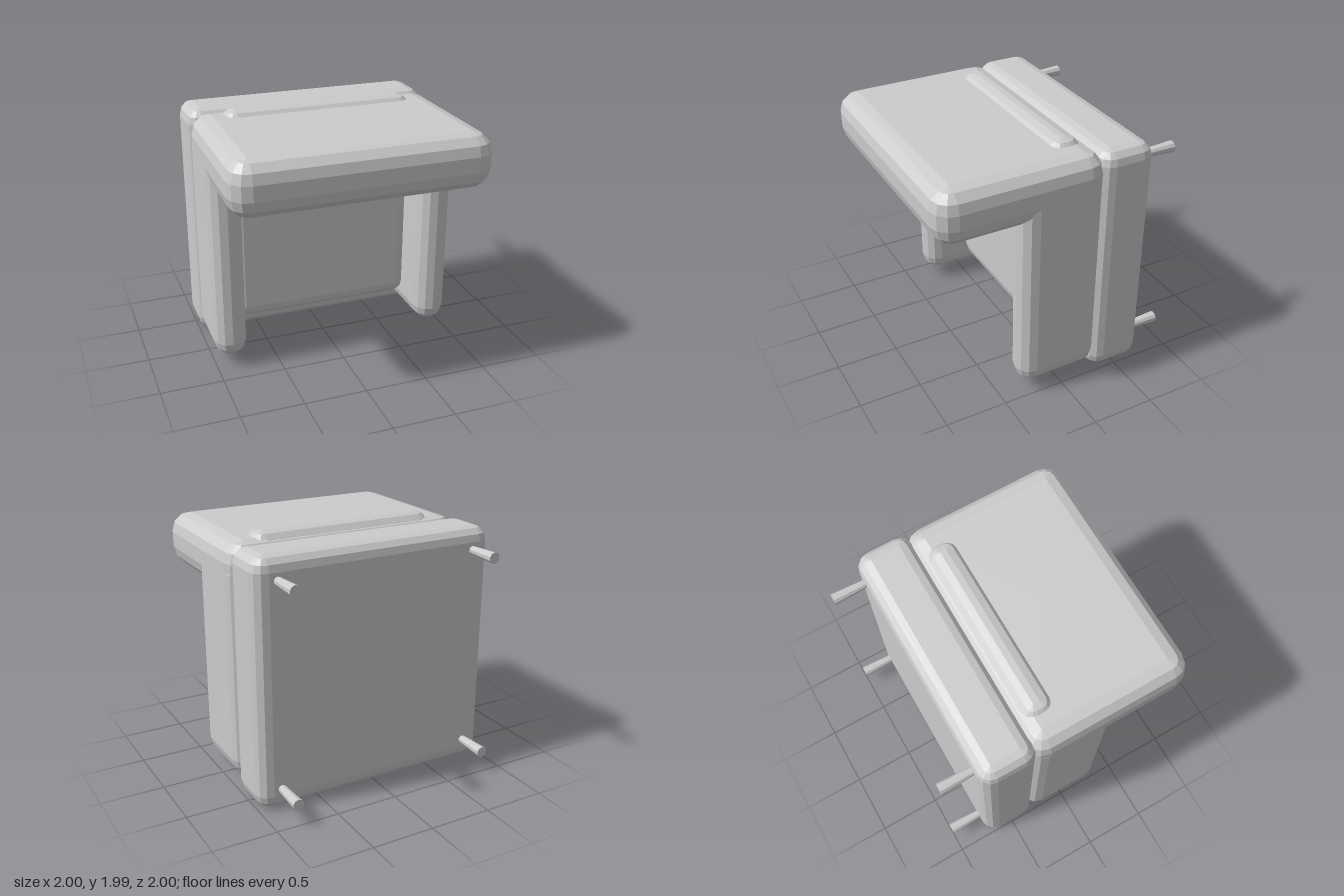
import * as THREE from 'three';

// Box with faceted rounded edges (three flat strips per edge), given by its min and max corners
function softBox(min, max, r) {
  const lo = new THREE.Vector3(...min), hi = new THREE.Vector3(...max);
  const mid = lo.clone().add(hi).multiplyScalar(0.5);
  const core = hi.clone().sub(lo).multiplyScalar(0.5).subScalar(r);
  const grid = new THREE.PlaneGeometry(1, 1, 16, 9);
  const pos = grid.attributes.position;
  for (let i = 0; i < pos.count; i++) {
    const row = Math.floor(i / 17), col = (i % 17) % 16;
    const up = row < 5 ? 1 : -1;
    // rows 0 and 9 close the caps at their centres
    if (row === 0 || row === 9) {
      pos.setXYZ(i, mid.x, mid.y + up * (core.y + r), mid.z);
      continue;
    }
    const lat = (up > 0 ? 4 - row : 5 - row) * Math.PI / 6;
    const quarter = Math.floor(col / 4);
    const lon = (quarter + (col % 4) / 3) * Math.PI / 2;
    const sx = quarter === 0 || quarter === 1 ? 1 : -1;
    const sz = quarter === 0 || quarter === 3 ? 1 : -1;
    pos.setXYZ(i,
      mid.x + sx * core.x + r * Math.cos(lat) * Math.sin(lon),
      mid.y + up * core.y + r * Math.sin(lat),
      mid.z + sz * core.z + r * Math.cos(lat) * Math.cos(lon));
  }
  // separate faces for flat facets
  const flat = grid.toNonIndexed();
  flat.computeVertexNormals();
  return flat;
}

export function createModel() {
  const model = new THREE.Group();
  model.name = 'armchairOnItsBack';
  const grey = new THREE.MeshStandardMaterial({ color: 0xcccccc });
  grey.name = 'light grey';

  const add = (name, geometry) => {
    const mesh = new THREE.Mesh(geometry, grey);
    mesh.name = name;
    model.add(mesh);
    return mesh;
  };

  // Upholstered blocks
  add('seatBase', softBox([-1, 0.01, -0.735], [1, 1.96, -0.28], 0.11));
  add('backrest', softBox([-1, 1.53, -0.35], [1, 1.96, 1], 0.155));
  add('seatCushion', softBox([-0.78, 0.225, -0.27], [0.78, 2, 0], 0.11));
  add('leftArm', softBox([0.74, 0.095, -0.33], [1, 1.85, 0.35], 0.125));
  add('rightArm', softBox([-1, 0.095, -0.33], [-0.74, 1.85, 0.35], 0.125));

  // Four legs pointing backwards, flaring towards the tips
  const leg = new THREE.CylinderGeometry(0.031, 0.045, 0.3, 10).toNonIndexed();
  leg.rotateX(Math.PI / 2);
  leg.computeVertexNormals();
  for (const [side, x] of [['left', 0.825], ['right', -0.825]]) {
    for (const [end, y] of [['Front', 0.18], ['Back', 1.79]]) {
      add(side + end + 'Leg', leg).position.set(x, y, -0.85);
    }
  }
  return model;
}
